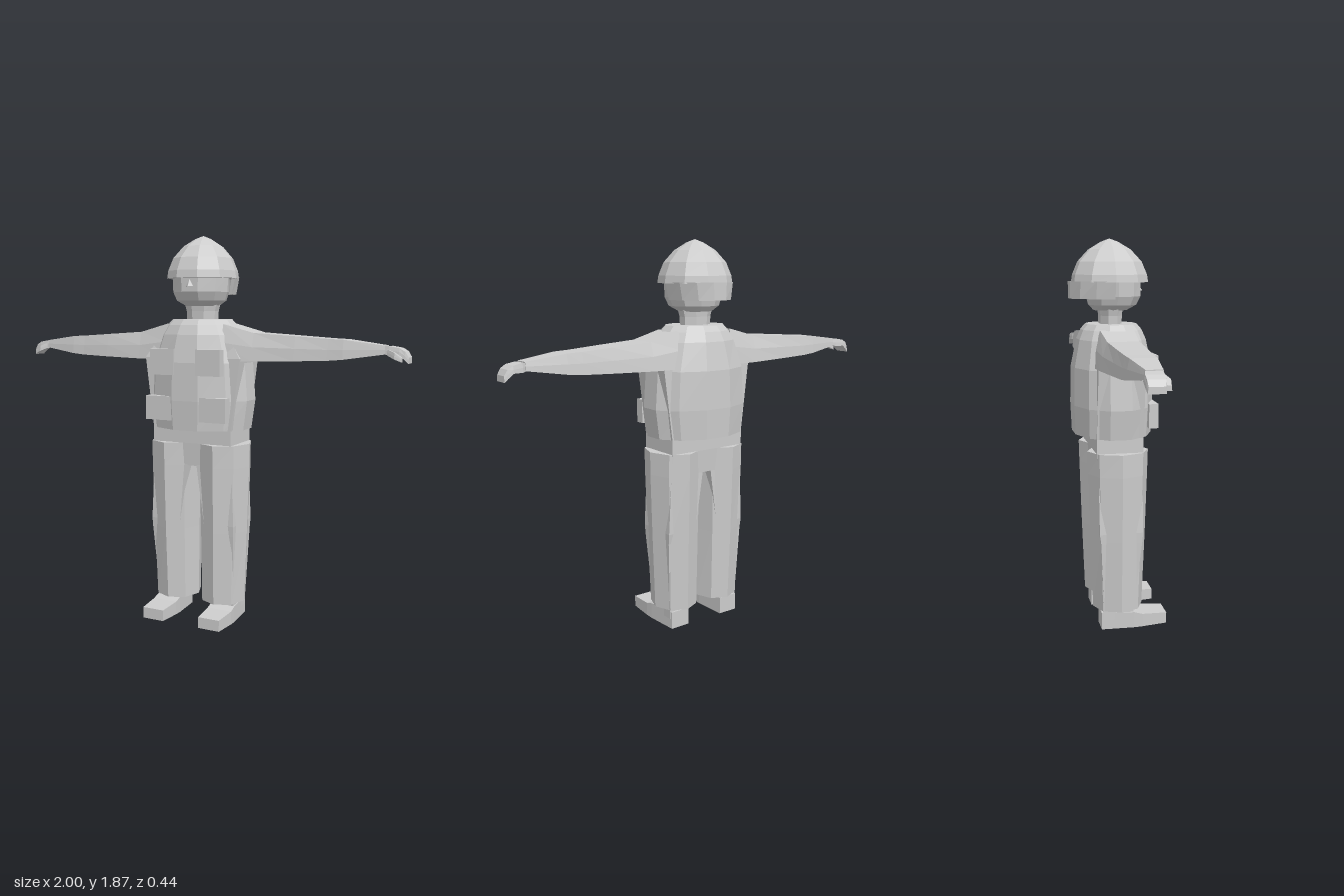
import * as THREE from 'three';

const grey = new THREE.MeshStandardMaterial({ color: 0xcccccc, flatShading: true, side: THREE.DoubleSide });
grey.name = 'lightGrey';

// Faceted skin over matching rings of [x, y, z]; both ends are capped unless open.
function loft(rings, { open = false, s = 1 } = {}) {
  if (s < 0) rings = rings.map(r => r.map(([x, y, z]) => [-x, y, z]).reverse());
  const n = rings[0].length, pos = [];
  const tri = (...p) => p.forEach(q => pos.push(...q));
  for (let i = 0; i < rings.length - 1; i++)
    for (let j = 0; j < (open ? n - 1 : n); j++) {
      const k = (j + 1) % n;
      const a = rings[i][j], b = rings[i][k], c = rings[i + 1][k], d = rings[i + 1][j];
      tri(a, b, c); tri(a, c, d);
    }
  if (!open) {
    const lo = rings[0], hi = rings[rings.length - 1];
    for (let j = 1; j < n - 1; j++) { tri(lo[0], lo[j + 1], lo[j]); tri(hi[0], hi[j], hi[j + 1]); }
  }
  const g = new THREE.BufferGeometry();
  g.setAttribute('position', new THREE.Float32BufferAttribute(pos, 3));
  g.computeVertexNormals();
  return g;
}

// Horizontal ring with n corners around (cx, cz).
const oval = (n, y, cx, cz, rx, rz, turn = 0) => Array.from({ length: n }, (_, i) => {
  const t = (i + turn) / n * Math.PI * 2;
  return [cx + rx * Math.sin(t), y, cz + rz * Math.cos(t)];
});

// Horizontal rectangle with a middle point on each x side.
const slab = (y, x0, x1, z0, z1) => {
  const m = (z0 + z1) / 2;
  return [[x0, y, z1], [x1, y, z1], [x1, y, m], [x1, y, z0], [x0, y, z0], [x0, y, m]];
};

// Arm section at x: wide flat bottom, narrower top.
const armRing = (x, y0, y1, z0, z1, inset) => [
  [x, y1, z0 + inset], [x, y1, z1 - inset], [x, (y0 + y1) / 2, z1 - inset * 0.3],
  [x, y0, z1], [x, y0, z0], [x, (y0 + y1) / 2, z0 + inset * 0.3]];

export function createModel() {
  const model = new THREE.Group();
  model.name = 'soldier';
  const add = (name, geo) => {
    const m = new THREE.Mesh(geo, grey);
    m.name = name;
    model.add(m);
    return m;
  };

  // Helmet dome and the guard around the back of the neck
  add('helmet', loft([[1.665, 1], [1.7, 0.97], [1.76, 0.83], [1.815, 0.55], [1.85, 0.23], [1.865, 0.01]]
    .map(([y, k]) => oval(10, y, 0.003, -0.022, 0.172 * k, 0.185 * k, 0.5))));
  const guardRing = (y, rx, rz) => Array.from({ length: 8 }, (_, i) => {
    const t = Math.PI * (0.5 + i / 7);
    return [0.003 + rx * Math.sin(t), y, -0.022 + rz * Math.cos(t)];
  });
  add('neckGuard', loft([guardRing(1.665, 0.148, 0.18), guardRing(1.59, 0.135, 0.18),
    guardRing(1.59, 0.15, 0.198), guardRing(1.67, 0.167, 0.198)], { open: true }));

  // Head, nose and neck
  add('head', loft([
    oval(10, 1.535, 0, -0.02, 0.08, 0.08, 0.5),
    oval(10, 1.56, 0, -0.01, 0.122, 0.115, 0.5),
    oval(10, 1.6, 0, -0.005, 0.138, 0.13, 0.5),
    oval(10, 1.67, 0, -0.005, 0.142, 0.13, 0.5)]));
  const nose = add('nose', new THREE.ConeGeometry(0.022, 0.04, 4));
  nose.position.set(0, 1.645, 0.115);
  add('neck', loft([oval(8, 1.44, 0, -0.02, 0.078, 0.054, 0.5), oval(8, 1.51, 0, -0.02, 0.082, 0.056, 0.5),
    oval(8, 1.57, 0, -0.02, 0.098, 0.062, 0.5)]));

  // Vest over the body
  add('vest', loft([[0.95, 0.25, 0.19], [1.09, 0.27, 0.196], [1.27, 0.256, 0.192], [1.4, 0.205, 0.165],
    [1.445, 0.175, 0.145], [1.472, 0.15, 0.122]]
    .map(([y, rx, rz]) => oval(12, y, 0, -0.016, rx, rz, 0.5))));
  add('body', loft([slab(0.77, -0.2, 0.2, -0.115, 0.095), slab(0.88, -0.207, 0.207, -0.122, 0.1),
    slab(0.95, -0.207, 0.207, -0.122, 0.1), slab(1.29, -0.25, 0.25, -0.12, 0.1),
    slab(1.44, -0.15, 0.15, -0.09, 0.06)]));

  for (const s of [1, -1]) {
    const side = s > 0 ? 'left' : 'right';

    // Sleeve, tapering from the shoulder to the wrist
    add(side + 'Arm', loft([
      armRing(0.15, 1.28, 1.45, -0.13, 0.1, 0.035),
      armRing(0.3, 1.28, 1.41, -0.12, 0.085, 0.03),
      armRing(0.5, 1.285, 1.397, -0.108, 0.066, 0.02),
      armRing(0.65, 1.29, 1.387, -0.1, 0.05, 0.015),
      armRing(0.72, 1.296, 1.384, -0.095, 0.045, 0.013),
      armRing(0.9, 1.322, 1.36, -0.066, 0.016, 0.006)], { s }));

    // Hand with fingers curling down, and a short thumb
    add(side + 'Hand', loft([
      armRing(0.885, 1.325, 1.352, -0.055, 0.005, 0.004),
      armRing(0.915, 1.318, 1.358, -0.072, 0.008, 0.006),
      armRing(0.96, 1.318, 1.35, -0.08, 0.006, 0.005),
      armRing(0.985, 1.298, 1.335, -0.078, 0.002, 0.004),
      armRing(1.0, 1.283, 1.31, -0.074, -0.002, 0.003)], { s }));
    add(side + 'Thumb', loft([
      armRing(0.91, 1.318, 1.345, -0.015, 0.014, 0.003),
      armRing(0.945, 1.302, 1.33, 0, 0.03, 0.003),
      armRing(0.975, 1.29, 1.31, 0.002, 0.024, 0.003)], { s }));

    // Eight-sided trouser leg around the inner leg
    add(side + 'TrouserLeg', loft([[0.095, 0.125, 0.11, 0.122], [0.45, 0.129, 0.118, 0.135],
      [0.77, 0.13, 0.126, 0.145], [0.88, 0.13, 0.126, 0.148]]
      .map(([y, cx, rx, rz]) => oval(8, y, s * cx, -0.008, rx, rz))));
    add(side + 'Leg', loft([slab(0.05, 0.1, 0.205, -0.09, 0.057), slab(0.1, 0.1, 0.205, -0.09, 0.057),
      slab(0.44, 0.07, 0.22, -0.105, 0.094), slab(0.49, 0.065, 0.222, -0.112, 0.098),
      slab(0.8, 0.02, 0.207, -0.115, 0.095)], { s }));

    // Shoe, from heel to toe
    const shoeRing = (z, x0, x1, y0, y1) => [[x0, y0, z], [x1, y0, z], [x1, y1, z], [x0, y1, z]];
    add(side + 'Shoe', loft([
      shoeRing(-0.1, 0.1, 0.2, 0, 0.085),
      shoeRing(0.06, 0.088, 0.213, 0.003, 0.082),
      shoeRing(0.1, 0.088, 0.214, 0.005, 0.07),
      shoeRing(0.222, 0.096, 0.206, 0.01, 0.064)], { s }));

    // Chest and waist pouches
    const upper = add(side + 'ChestPouch', new THREE.BoxGeometry(0.126, 0.122, 0.045));
    upper.position.set(s * 0.12, 1.272, 0.152);
    const lower = add(side + 'WaistPouch', new THREE.BoxGeometry(0.137, 0.115, 0.045));
    lower.position.set(s * 0.142, 1.052, 0.148);
  }
  return model;
}
